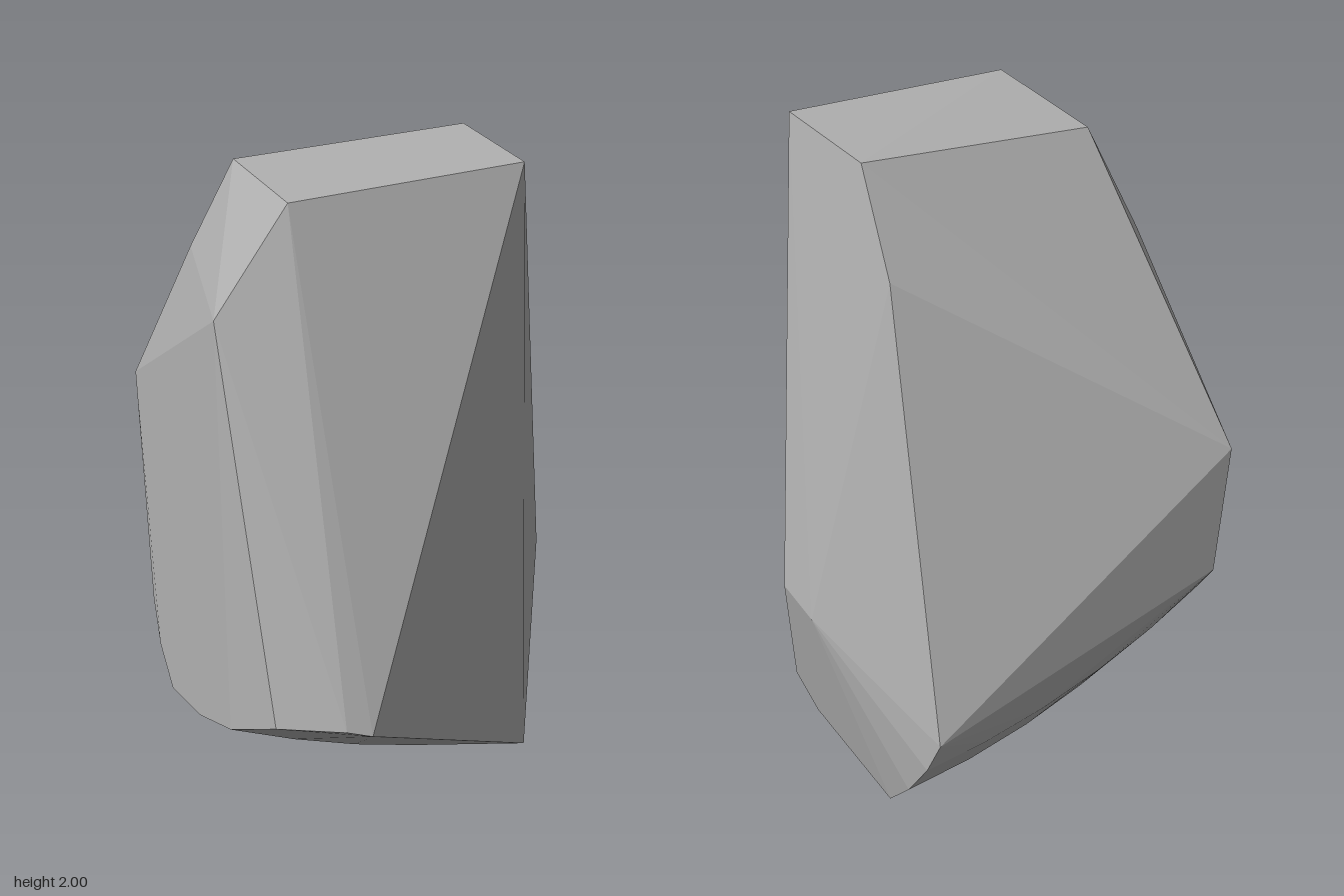
import * as THREE from 'three';
import { ConvexGeometry } from 'three/addons/geometries/ConvexGeometry.js';

const stone = new THREE.MeshStandardMaterial({ color: 0xb0b0b0, flatShading: true });
stone.name = 'stone grey';

// Corners of the broad chipped faces
const corners = [
  // flat top
  [0.355, 2, 0.245], [-0.32, 1.97, 0.245], [-0.33, 1.96, -0.18], [0.34, 2, -0.13],
  // shoulders
  [-0.53, 1.67, 0.24], [-0.43, 1.68, -0.29], [0.345, 1.72, -0.28],
  // back ridge
  [-0.51, 1.14, -0.68], [-0.3, 1.05, -0.63],
  // right-hand bulge
  [0.575, 0.66, -0.03], [0.575, 0.65, -0.2],
  // front nose
  [-0.25, 0.57, 0.675], [-0.32, 0.59, 0.66], [-0.48, 0.56, 0.53],
];

// Rounded underside: each row runs from the +x end to the -x end
// and bulges outward by (y, z) at its middle
const rows = [
  { from: [0.41, 0.43, -0.64], to: [-0.49, 0.72, -0.67], bulge: [0, 0] },
  { from: [0.43, 0.32, -0.6], to: [-0.52, 0.6, -0.58], bulge: [-0.03, -0.03] },
  { from: [0.44, 0.18, -0.51], to: [-0.55, 0.46, -0.45], bulge: [-0.035, -0.035] },
  { from: [0.43, 0.035, -0.38], to: [-0.57, 0.37, -0.32], bulge: [-0.045, -0.02] },
  { from: [0.37, 0, -0.17], to: [-0.578, 0.3, -0.17], bulge: [-0.045, 0] },
  { from: [0.44, 0.06, 0.06], to: [-0.565, 0.35, 0.08], bulge: [-0.045, 0] },
  { from: [0.44, 0.11, 0.2], to: [-0.54, 0.43, 0.3], bulge: [-0.04, 0.01] },
];

function undersidePoints(steps) {
  const points = [];
  for (const { from, to, bulge } of rows) {
    for (let i = 0; i <= steps; i++) {
      const t = i / steps;
      const p = new THREE.Vector3(...from).lerp(new THREE.Vector3(...to), t);
      const sag = 4 * t * (1 - t);
      p.y += bulge[0] * sag;
      p.z += bulge[1] * sag;
      points.push(p);
    }
  }
  return points;
}

export function createModel() {
  const group = new THREE.Group();
  group.name = 'rock';

  const points = corners.map((c) => new THREE.Vector3(...c));
  points.push(new THREE.Vector3(0.39, 0.16, 0.31)); // low front corner
  points.push(...undersidePoints(5));

  const boulder = new THREE.Mesh(new ConvexGeometry(points), stone);
  boulder.name = 'boulder';
  group.add(boulder);
  return group;
}
